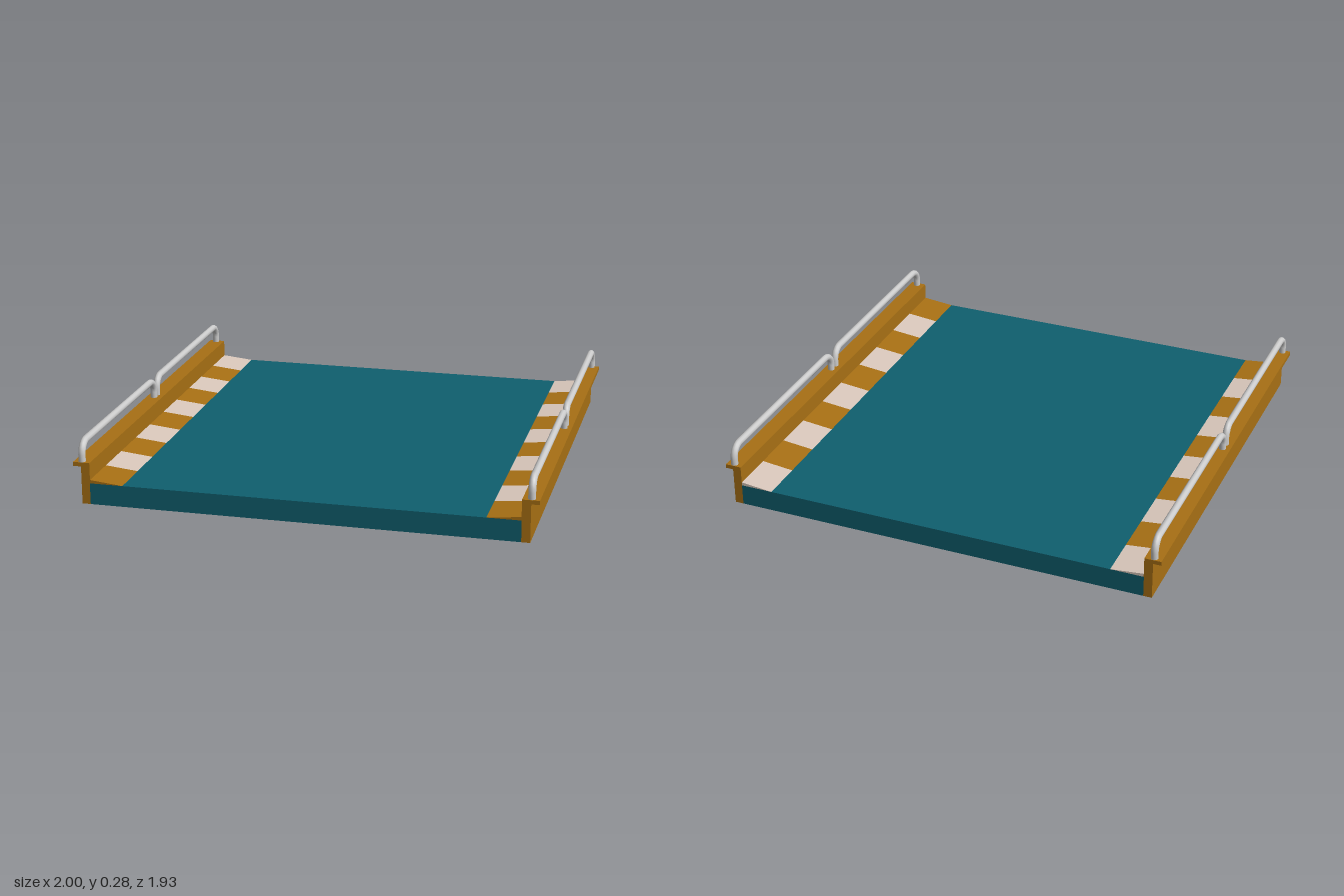
import * as THREE from 'three';

const LENGTH = 1.93;
const material = (color, flatShading = true) => new THREE.MeshStandardMaterial({ color, flatShading });

// Extrudes an x/y outline along z, from z0 over the given length.
function prism(points, z0, length) {
  const shape = new THREE.Shape(points.map(([x, y]) => new THREE.Vector2(x, y)));
  const geometry = new THREE.ExtrudeGeometry(shape, { depth: length, bevelEnabled: false });
  return geometry.translate(0, 0, z0);
}

// Handrail path: up from the girder, along z, and down again with rounded corners.
function railPath(x, z0, z1) {
  const bottom = 0.175, top = 0.269, r = 0.055;
  const v = (y, z) => new THREE.Vector3(x, y, z);
  const path = [v(bottom, z0)];
  const steps = 6;
  for (let i = 0; i <= steps; i++) {
    const a = (i / steps) * Math.PI / 2;
    path.push(v(top - r + r * Math.sin(a), z0 + r - r * Math.cos(a)));
  }
  for (let i = 0; i <= steps; i++) {
    const a = (i / steps) * Math.PI / 2;
    path.push(v(top - r + r * Math.cos(a), z1 - r + r * Math.sin(a)));
  }
  path.push(v(bottom, z1));
  const curve = new THREE.CurvePath();
  for (let i = 1; i < path.length; i++) curve.add(new THREE.LineCurve3(path[i - 1], path[i]));
  return curve;
}

export function createModel() {
  const model = new THREE.Group();
  const teal = material(0x0f5f6e);
  const ochre = material(0xa87014);
  const pale = material(0xdac8bc);
  const grey = material(0xcccccc, false);

  const add = (name, geometry, mat, parent = model) => {
    const mesh = new THREE.Mesh(geometry, mat);
    mesh.name = name;
    parent.add(mesh);
    return mesh;
  };

  // Deck slab
  add('deck', new THREE.BoxGeometry(1.856, 0.094, LENGTH).translate(0, 0.047, 0), teal);

  for (const side of [1, -1]) {
    const half = new THREE.Group();
    half.name = side > 0 ? 'leftSide' : 'rightSide';
    model.add(half);
    const outline = (points) => points.map(([x, y]) => [side * x, y]);

    // Side girder with outward top flange
    add('girder', prism(outline([
      [0.927, 0], [0.965, 0], [0.965, 0.167], [1, 0.167], [1, 0.185], [0.927, 0.185],
    ]), -LENGTH / 2, LENGTH), ochre, half);

    // Sloping kerb in alternating colours, pale at the back
    const count = 10, step = LENGTH / count;
    for (let i = 0; i < count; i++) {
      add('kerbBlock', prism(outline([
        [0.782, 0.094], [0.927, 0.094], [0.927, 0.109],
      ]), -LENGTH / 2 + i * step, step), i % 2 ? ochre : pale, half);
    }

    // Two handrails end to end
    for (const [z0, z1] of [[-0.948, -0.02], [0.02, 0.948]]) {
      const curve = railPath(side * 0.965, z0, z1);
      // Rings follow the corner points so the long run stays straight
      const rings = curve.curves.map((c) => c.v1).concat(curve.curves.at(-1).v2);
      const sides = 10, radius = 0.016, positions = [], index = [];
      rings.forEach((p, i) => {
        const a = rings[Math.max(i - 1, 0)], b = rings[Math.min(i + 1, rings.length - 1)];
        const t = b.clone().sub(a).normalize();
        const n = new THREE.Vector3(0, t.z, -t.y);
        for (let k = 0; k < sides; k++) {
          const w = (k / sides) * Math.PI * 2;
          positions.push(p.x + radius * Math.cos(w),
            p.y + radius * Math.sin(w) * n.y, p.z + radius * Math.sin(w) * n.z);
          if (i === 0) continue;
          const m = (k + 1) % sides, lo = (i - 1) * sides, hi = i * sides;
          index.push(lo + k, lo + m, hi + k, lo + m, hi + m, hi + k);
        }
      });
      const rail = new THREE.BufferGeometry();
      rail.setAttribute('position', new THREE.Float32BufferAttribute(positions, 3));
      rail.setIndex(index);
      rail.computeVertexNormals();
      add('handrail', rail, grey, half);
    }
  }
  return model;
}
